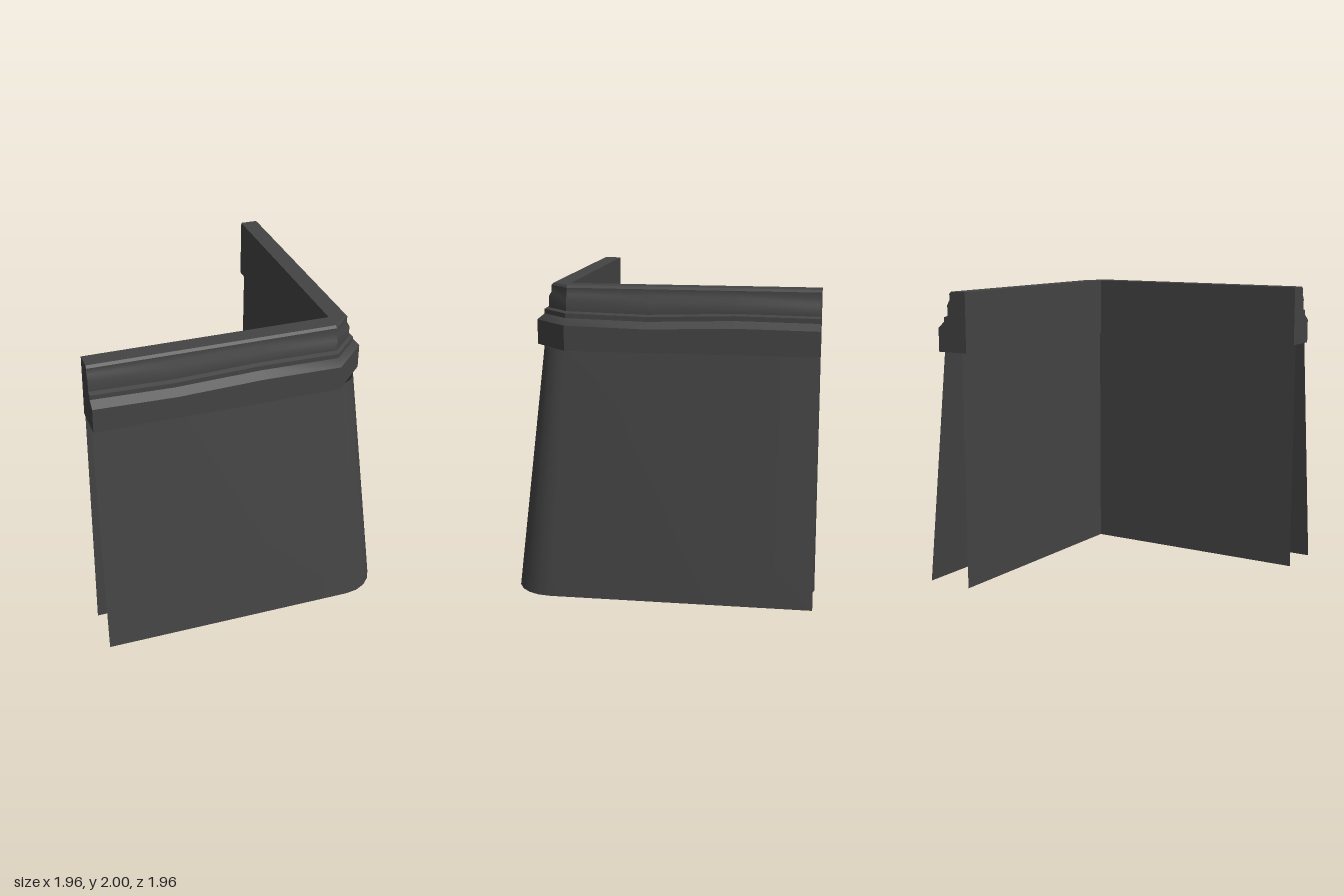
import * as THREE from 'three';
import { toCreasedNormals } from 'three/addons/utils/BufferGeometryUtils.js';

const INNER = 0.62; // inner faces of the cornice, on both x and z
const END = -0.98; // open ends of the two walls

const dark = new THREE.MeshStandardMaterial({ color: 0x444444 });
const darkSheet = new THREE.MeshStandardMaterial({ color: 0x444444, side: THREE.DoubleSide });

function buildMesh(name, positions, index, material) {
  const geo = new THREE.BufferGeometry();
  geo.setAttribute('position', new THREE.Float32BufferAttribute(positions, 3));
  geo.setIndex(index);
  const mesh = new THREE.Mesh(toCreasedNormals(geo, 0.6), material);
  mesh.name = name;
  return mesh;
}

// Sheet between a bottom and a top plan line, each a list of [x, z]
function sheet(name, bottom, top, height) {
  const positions = [], index = [];
  bottom.forEach(([x, z], i) => {
    positions.push(x, 0, z, top[i][0], height, top[i][1]);
    if (i > 0) {
      const a = 2 * (i - 1);
      index.push(a, a + 2, a + 1, a + 1, a + 2, a + 3);
    }
  });
  return buildMesh(name, positions, index, darkSheet);
}

// Plan line along the front, round the corner and back along the side
function roundedPlan(centre, radius, segments = 5) {
  const pts = [[END, centre + radius]];
  for (let i = 0; i <= segments; i++) {
    const a = (i / segments) * Math.PI / 2;
    pts.push([centre + radius * Math.sin(a), centre + radius * Math.cos(a)]);
  }
  pts.push([centre + radius, END]);
  return pts;
}

// Stepped moulding swept along both walls with a chamfered corner
function cornice() {
  const profile = [
    [0, 1.6], [0.23, 1.6], [0.23, 1.76], [0.18, 1.80], [0.18, 1.83], [0.15, 1.84],
    [0.15, 1.91], [0.13, 1.945], [0.13, 1.985], [0.115, 2], [0, 2],
  ].map(p => new THREE.Vector2(...p));

  // Slight sag and rise of the middle mouldings along each wall
  const front = [[END, 0], [-0.45, -0.012], [0.1, 0.006], [INNER, 0]];
  const side = [[INNER, 0], [0.1, -0.012], [-0.45, 0.006], [END, 0]];
  const stations = [
    ...front.map(([x, dy]) => ({ dy, at: r => [x, INNER + r] })),
    ...side.map(([z, dy]) => ({ dy, at: r => [INNER + r, z] })),
  ];

  const n = profile.length, positions = [], index = [];
  stations.forEach(({ dy, at }, s) => {
    profile.forEach((p, i) => {
      const [x, z] = at(p.x);
      const wavy = p.y > 1.7 && p.y < 1.9;
      positions.push(x, p.y + (wavy ? dy : 0), z);
      if (s > 0) {
        const j = (i + 1) % n, a = (s - 1) * n, b = s * n;
        index.push(a + i, b + i, a + j, a + j, b + i, b + j);
      }
    });
  });

  // End caps
  const last = (stations.length - 1) * n;
  for (const [a, b, c] of THREE.ShapeUtils.triangulateShape(profile, [])) {
    index.push(a, b, c, last + a, last + c, last + b);
  }
  return buildMesh('cornice', positions, index, dark);
}

export function createModel() {
  const group = new THREE.Group();
  group.name = 'cornerWall';

  // Battered outer face, rounded at the corner
  group.add(sheet('outerWall', roundedPlan(0.72, 0.257), roundedPlan(INNER, 0.18), 1.6));

  // Vertical inner face, set slightly back under the cornice
  const d = 0.65;
  const innerPlan = [[END, d], [d, d], [d, END]];
  group.add(sheet('innerWall', innerPlan, innerPlan, 1.6));

  group.add(cornice());
  return group;
}
